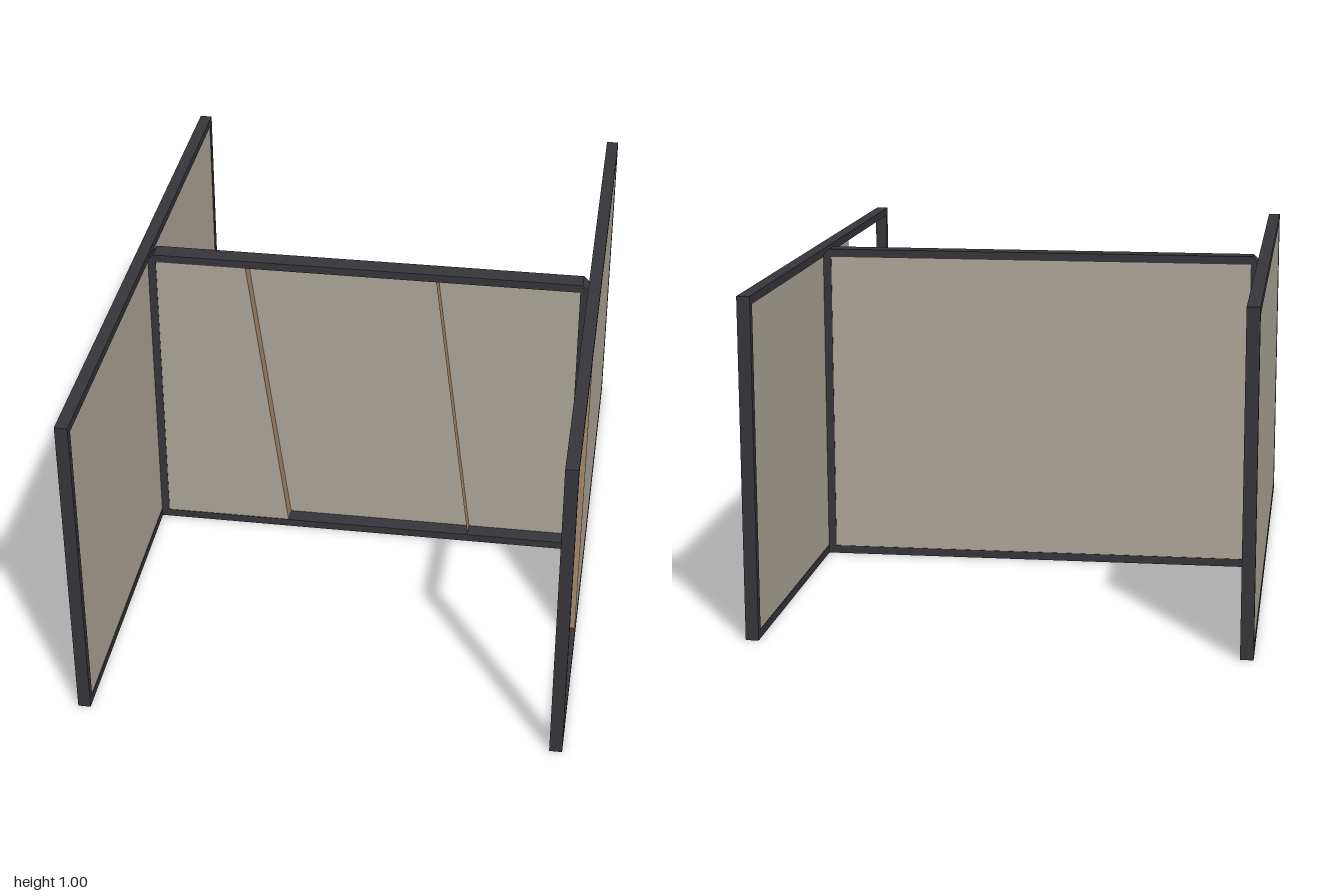
import * as THREE from 'three';

const mat = (name, color) => Object.assign(new THREE.MeshStandardMaterial({ color }), { name });

export function createModel() {
  const frameMat = mat('charcoal frame', 0x37363b);
  const panelMat = mat('beige panel', 0xb0a99c);
  const coreMat = mat('brown core', 0xa08464);
  const finMat = mat('brown rib', 0xa08464);
  finMat.side = THREE.DoubleSide;

  const BAR = 0.025, SIDE_X = 0.708, SIDE_T = 0.038, MID_X = 0.69, MID_T = 0.06;
  const model = new THREE.Group();
  model.name = 'partition';

  // Flat outline pushed from z0 to z1, with an optional hole
  const slab = (name, outline, z0, z1, material, hole) => {
    const v = list => list.map(([x, y]) => new THREE.Vector2(x, y));
    const shape = new THREE.Shape(v(outline));
    if (hole) shape.holes.push(new THREE.Path(v(hole)));
    const geo = new THREE.ExtrudeGeometry(shape, { depth: z1 - z0, bevelEnabled: false });
    geo.translate(0, 0, z0);
    const mesh = new THREE.Mesh(geo, material);
    mesh.name = name;
    return mesh;
  };
  const rect = (x0, x1, y0 = BAR, y1 = 1 - BAR) => [[x0, y0], [x1, y0], [x1, y1], [x0, y1]];

  // Side walls: drawn in (z, y), then turned to face sideways
  const h = SIDE_T / 2, inset = 0.002, end = 1 - BAR;
  for (const s of [1, -1]) {
    const wall = new THREE.Group();
    wall.name = s > 0 ? 'leftWall' : 'rightWall';
    // The left wall's panel stops at a slanted cut that shows its core
    const outline = s > 0
      ? [[-end, BAR], [0.445, BAR], [0.325, 1 - BAR], [-end, 1 - BAR]]
      : rect(-end, end);
    wall.add(
      slab('sideFrame', rect(-1, 1, 0, 1), -h, h, frameMat, rect(-end, end)),
      slab('sidePanel', outline, -h + inset, h - inset, [panelMat, coreMat]));
    wall.rotation.y = -Math.PI / 2;
    wall.position.x = s * SIDE_X;
    model.add(wall);
  }

  // Middle wall frame, with clipped top corners
  const mid = new THREE.Group();
  mid.name = 'middleWall';
  const inner = MID_X - BAR, c = 0.018;
  const outer = [[-MID_X, 0], [MID_X, 0], [MID_X, 1 - c], [MID_X - c, 1], [-MID_X + c, 1], [-MID_X, 1 - c]];
  mid.add(slab('middleFrame', outer, -MID_T, 0, frameMat, rect(-inner, inner)));

  // Full back sheet, and a front layer ending at a slanted cut
  mid.add(
    slab('backSheet', rect(-inner, inner), -MID_T + inset, -MID_T + 0.008, panelMat),
    slab('frontLayer', [[-inner, BAR], [-0.26, BAR], [-0.38, 1 - BAR], [-inner, 1 - BAR]],
      -MID_T + 0.008, -inset, [panelMat, coreMat]));

  // Thin slanted rib standing in the recess
  const depth = MID_T - 0.01;
  const ribGeo = new THREE.PlaneGeometry(depth, 1 - 2 * BAR);
  ribGeo.rotateY(Math.PI / 2);
  ribGeo.translate(0.28, 0.5, -inset - depth / 2);
  const p = ribGeo.attributes.position;
  for (let i = 0; i < p.count; i++) p.setX(i, 0.28 - (p.getY(i) - 0.5) * 0.126);
  ribGeo.computeVertexNormals();
  const rib = new THREE.Mesh(ribGeo, finMat);
  rib.name = 'slantedRib';
  mid.add(rib);
  model.add(mid);

  return model;
}
